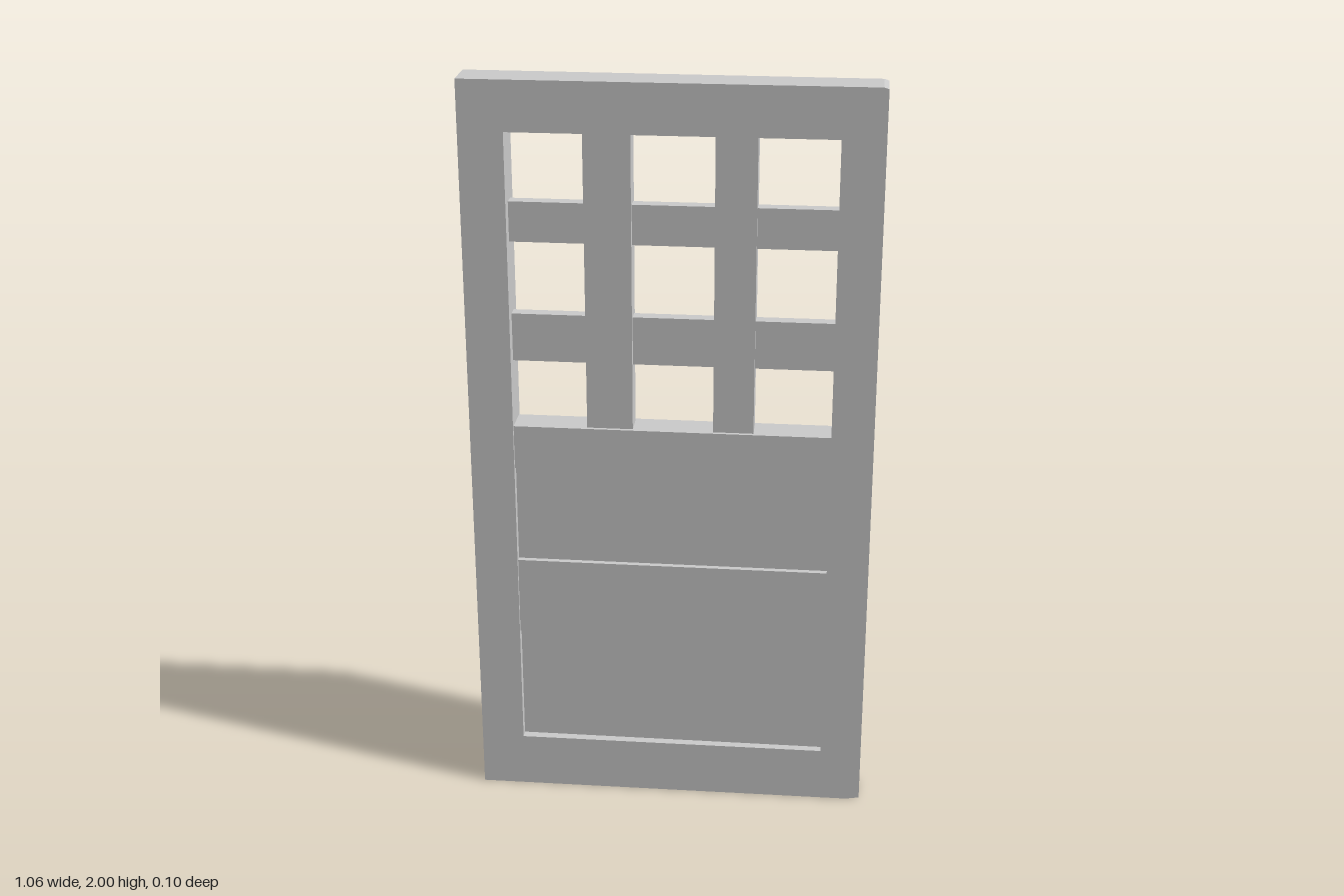
import * as THREE from 'three';

const material = new THREE.MeshStandardMaterial({ color: 0xcccccc, flatShading: true });

// Inner edges of the frame opening
const LEFT = -0.413, RIGHT = 0.417, BOTTOM = 0.15, TOP = 1.87;

function slab(name, x0, x1, y0, y1, depth) {
  const mesh = new THREE.Mesh(new THREE.BoxGeometry(x1 - x0, y1 - y0, depth), material);
  mesh.position.set((x0 + x1) / 2, (y0 + y1) / 2, 0);
  mesh.name = name;
  return mesh;
}

// Outer frame: one slab with a rectangular opening, a touch thinner towards +x
function makeFrame() {
  const shape = new THREE.Shape([
    [-0.528, 0], [0.49, 0], [0.527, 0.006], [0.527, 1.996], [0.515, 2], [-0.528, 2],
  ].map(([x, y]) => new THREE.Vector2(x, y)));
  shape.holes.push(new THREE.Path([
    [LEFT, BOTTOM], [LEFT, TOP], [RIGHT, TOP], [RIGHT, BOTTOM],
  ].map(([x, y]) => new THREE.Vector2(x, y))));
  const geometry = new THREE.ExtrudeGeometry(shape, { depth: 1, bevelEnabled: false });
  const p = geometry.attributes.position;
  for (let i = 0; i < p.count; i++) {
    const depth = 0.1 - 0.007 * p.getX(i);
    p.setZ(i, (p.getZ(i) - 0.5) * depth);
  }
  geometry.computeVertexNormals();
  const frame = new THREE.Mesh(geometry, material);
  frame.name = 'frame';
  return frame;
}

export function createModel() {
  const door = new THREE.Group();
  door.name = 'door';
  door.add(makeFrame());

  // Solid lower half: two recessed panels and two raised rails
  door.add(
    slab('lowerPanel', LEFT, RIGHT, BOTTOM, 0.48, 0.054),
    slab('middleRail', LEFT, RIGHT, 0.48, 0.695, 0.084),
    slab('upperPanel', LEFT, RIGHT, 0.695, 0.965, 0.054),
    slab('windowRail', LEFT, RIGHT, 0.965, 1.085, 0.084),
  );

  // Window grille: upright bars stand proud of the thin crossbars
  const uprights = [[-0.22, -0.1], [0.11, 0.215]];
  for (const [x0, x1] of uprights) door.add(slab('uprightBar', x0, x1, 1.085, TOP, 0.064));

  const gaps = [[LEFT, -0.22], [-0.1, 0.11], [0.215, RIGHT]];
  for (const [y0, y1] of [[1.26, 1.388], [1.58, 1.685]]) {
    for (const [x0, x1] of gaps) door.add(slab('crossbar', x0, x1, y0, y1, 0.034));
  }
  return door;
}
